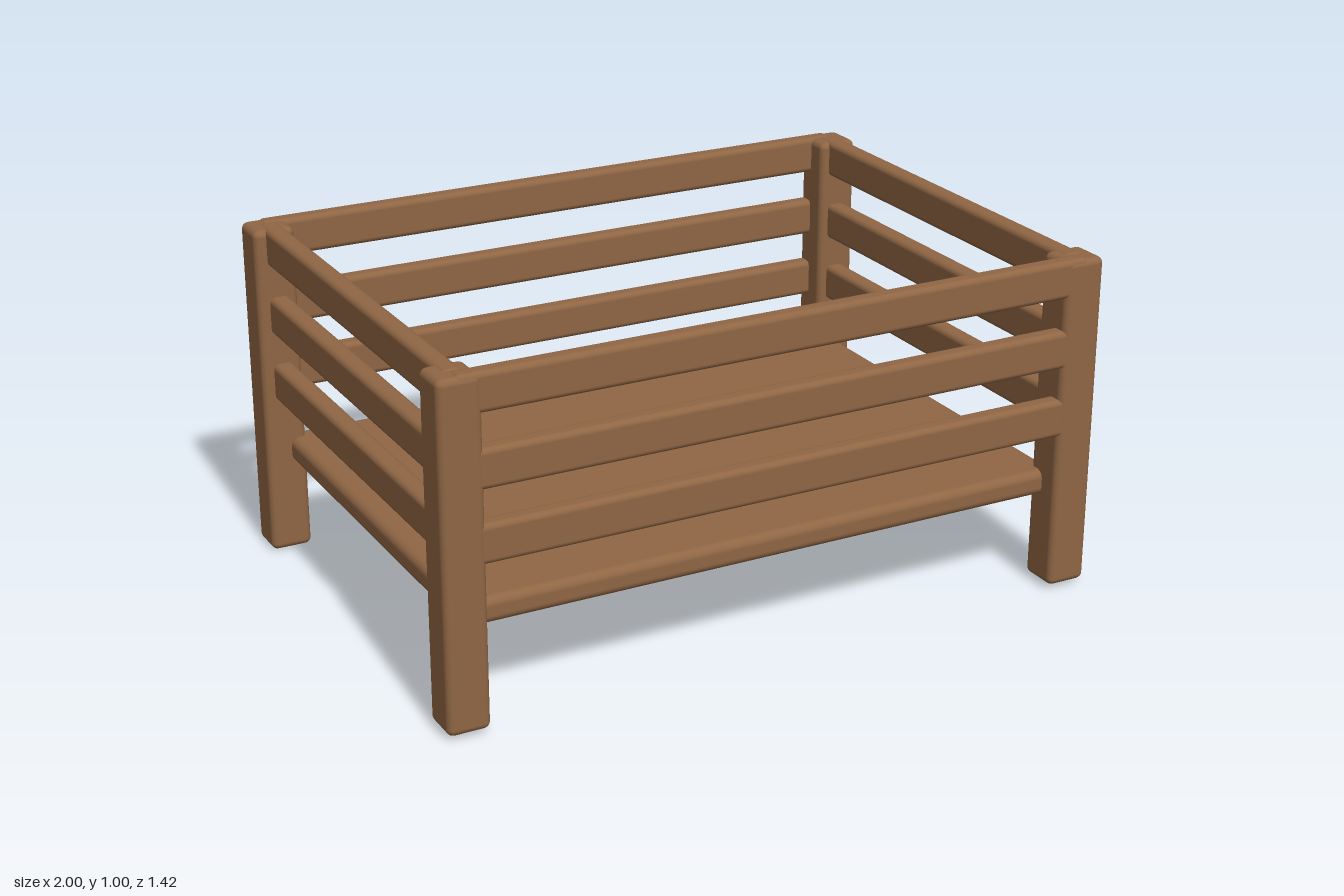
import * as THREE from 'three';
import { RoundedBoxGeometry } from 'three/addons/geometries/RoundedBoxGeometry.js';

export function createModel() {
  const wood = new THREE.MeshStandardMaterial({ color: 0x8f6644 });
  wood.name = 'brown wood';
  const model = new THREE.Group();
  model.name = 'slattedCrate';

  // A softened timber board, given by its size and centre
  function board(name, size, position, radius) {
    const mesh = new THREE.Mesh(new RoundedBoxGeometry(...size, 3, radius), wood);
    mesh.name = name;
    mesh.position.set(...position);
    model.add(mesh);
  }

  // Corner posts; the front pair is a touch shorter at the foot
  for (const sx of [-1, 1]) {
    for (const sz of [-1, 1]) {
      const foot = sz > 0 ? 0.012 : 0;
      const name = (sz > 0 ? 'front' : 'back') + (sx > 0 ? 'Left' : 'Right') + 'Post';
      board(name, [0.122, 0.996 - foot, 0.122], [sx * 0.939, (0.996 + foot) / 2, sz * 0.649], 0.02);
    }
  }

  // Three rails on every side
  for (const y of [0.533, 0.738, 0.944]) {
    for (const s of [-1, 1]) {
      board(s > 0 ? 'frontRail' : 'backRail', [1.9, 0.112, 0.055], [0, y, s * 0.68], 0.017);
      board(s > 0 ? 'leftRail' : 'rightRail', [0.06, 0.112, 1.32], [s * 0.935, y, 0], 0.017);
    }
  }

  // Solid floor panel
  board('floorPanel', [1.85, 0.076, 1.29], [0, 0.313, 0], 0.025);

  return model;
}
